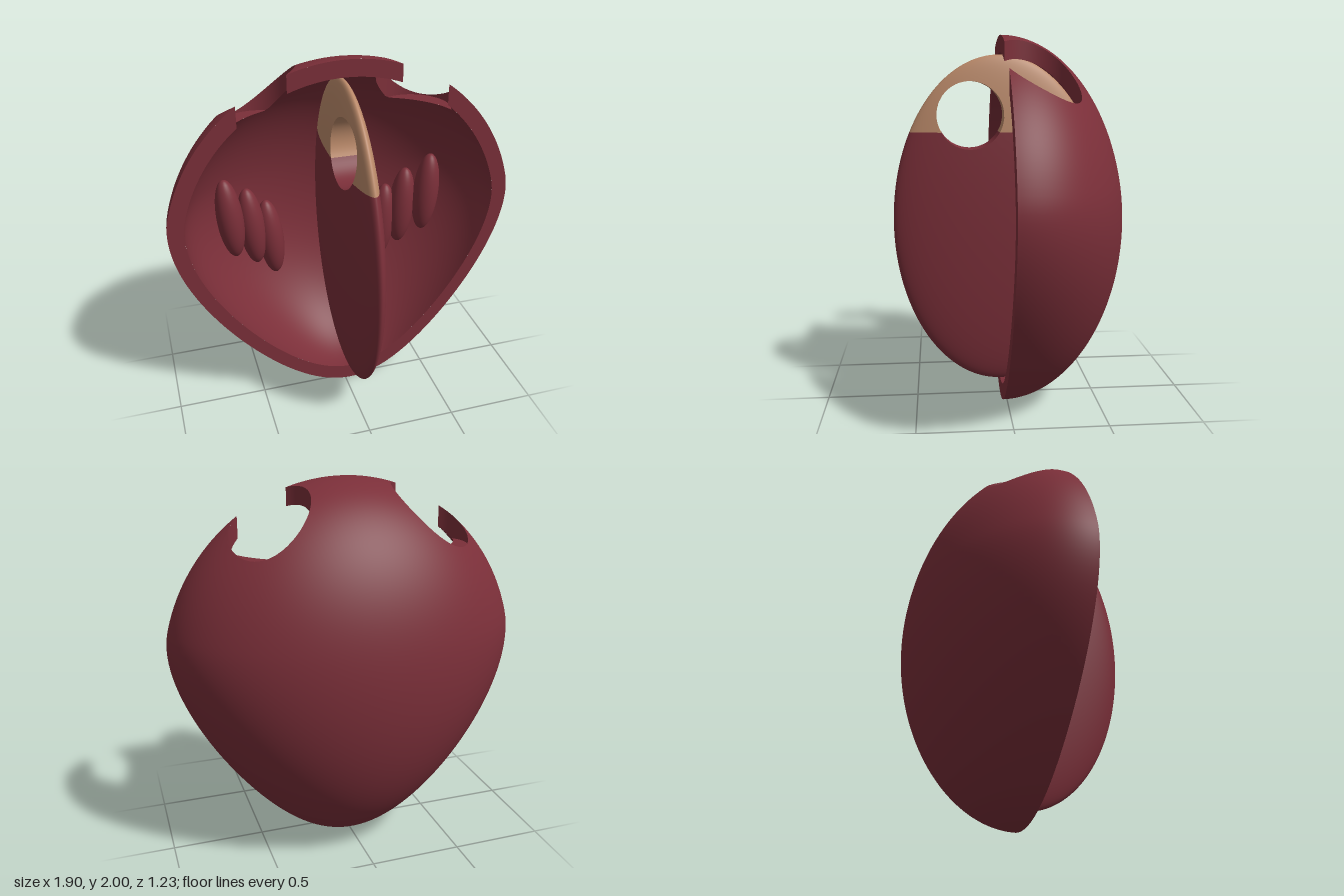
import * as THREE from 'three';
import { mergeVertices } from 'three/addons/utils/BufferGeometryUtils.js';

const V = (x, y, z) => new THREE.Vector3(x, y, z);
const TAU = Math.PI * 2;
const CUT_Z = 0.03; // plane where the shell is cut open
const INNER = 0.91; // cavity size relative to the outer wall
const PORT = { x: 0.427, z: -0.13, r: 0.205, floor: 1.65 };
const HOLE = { y: 1.58, z: 0.19, r: 0.18 };
const TAN_Y = 1.49;

// Triangles of a parametric surface, facing du x dv
function surface(fn, nu, nv) {
  const tris = [];
  for (let i = 0; i < nu; i++) {
    for (let j = 0; j < nv; j++) {
      const a = fn(i / nu, j / nv), b = fn((i + 1) / nu, j / nv);
      const c = fn((i + 1) / nu, (j + 1) / nv), d = fn(i / nu, (j + 1) / nv);
      tris.push([a, b, c], [a, c, d]);
    }
  }
  return tris;
}

// Keep the part of the triangles where f(p) >= 0
function clip(tris, f) {
  const out = [];
  for (const tri of tris) {
    const d = tri.map(f), poly = [];
    for (let i = 0; i < 3; i++) {
      const j = (i + 1) % 3;
      if (d[i] >= 0) poly.push(tri[i]);
      if ((d[i] >= 0) !== (d[j] >= 0)) poly.push(tri[i].clone().lerp(tri[j], d[i] / (d[i] - d[j])));
    }
    for (let k = 2; k < poly.length; k++) out.push([poly[0], poly[k - 1], poly[k]]);
  }
  return out;
}

function toMesh(name, tris, material) {
  const raw = new THREE.BufferGeometry().setFromPoints(tris.flat());
  const geometry = mergeVertices(raw, 1e-5);
  geometry.computeVertexNormals();
  const mesh = new THREE.Mesh(geometry, material);
  mesh.name = name;
  return mesh;
}

// Heart-like body: an ellipsoid that narrows and leans towards the bottom
function widthAt(y) {
  const d = Math.max(0, 1.25 - y);
  return 0.97 - 0.34 * d * d / (d + 0.3);
}
const leanAt = y => 0.03 * Math.max(0, 1 - y) ** 2;

function bodyPoint(theta, phi, s) {
  const uy = Math.sin(theta) * Math.sin(phi), y = 1 + uy;
  return V(
    s * Math.sin(theta) * Math.cos(phi) * widthAt(y) + leanAt(y),
    1 + s * uy,
    CUT_Z - s * 0.65 * Math.cos(theta));
}

// Below 1 inside the body of size s, above 1 outside
function bodyField(p, s) {
  const uy = (p.y - 1) / s, y = Math.min(2, Math.max(0, 1 + uy));
  return Math.hypot((p.x - leanAt(y)) / (s * widthAt(y)), uy, (p.z - CUT_Z) / (s * 0.65));
}

// Positive outside the two vertical port cutters
const outsidePorts = p => Math.max(
  Math.hypot(Math.abs(p.x) - PORT.x, p.z - PORT.z) - PORT.r, PORT.floor - p.y);

// Keep only what lies within the shell wall
function withinWall(tris) {
  let t = clip(tris, p => CUT_Z - p.z);
  t = clip(t, p => 1 - bodyField(p, 1));
  return clip(t, p => bodyField(p, INNER) - 1);
}

// Thin upright divider
function septumPoint(theta, phi) {
  const uy = Math.sin(theta) * Math.sin(phi);
  return V(
    0.095 * Math.sin(theta) * Math.cos(phi) + 0.01 - 0.022 * uy,
    1 + 0.9 * uy,
    CUT_Z - 0.58 * Math.cos(theta));
}
function septumField(p) {
  const uy = (p.y - 1) / 0.9;
  return Math.hypot((p.x - 0.01 + 0.022 * uy) / 0.095, uy, (p.z - CUT_Z) / 0.58);
}

export function createModel() {
  const red = new THREE.MeshStandardMaterial({ color: 0x7b2f39 });
  red.name = 'muscle red';
  const tan = new THREE.MeshStandardMaterial({ color: 0xba8969 });
  tan.name = 'membrane tan';
  const model = new THREE.Group();
  model.name = 'chamberModel';

  // Shell: outer skin, cavity lining and the flat cut rim
  const shell = new THREE.Group();
  shell.name = 'shell';
  const outer = surface((u, v) => bodyPoint(u * Math.PI / 2, -v * TAU, 1), 60, 160);
  const lining = surface((u, v) => bodyPoint(u * Math.PI / 2, v * TAU, INNER), 60, 160);
  const rim = surface((u, v) => bodyPoint(Math.PI / 2, v * TAU, INNER)
    .lerp(bodyPoint(Math.PI / 2, v * TAU, 1), u), 6, 200);
  shell.add(
    toMesh('outerWall', clip(outer, outsidePorts), red),
    toMesh('cavityLining', clip(lining, outsidePorts), red),
    toMesh('cutRim', clip(rim, outsidePorts), red));

  // Ports: round walls and a flat ledge cut into the top of the shell
  for (const [side, s] of [['left', 1], ['right', -1]]) {
    const wall = surface((u, v) => V(
      s * PORT.x + PORT.r * Math.cos(u * TAU),
      PORT.floor + 0.35 * v,
      PORT.z + PORT.r * Math.sin(u * TAU)), 72, 20);
    const ledge = surface((u, v) => V(
      s * PORT.x + PORT.r * u * Math.cos(-v * TAU),
      PORT.floor,
      PORT.z + PORT.r * u * Math.sin(-v * TAU)), 14, 72);
    shell.add(
      toMesh(side + 'PortWall', withinWall(wall), red),
      toMesh(side + 'PortLedge', withinWall(ledge), red));
  }
  model.add(shell);

  // Septum with a round hole and a tan top
  const septum = new THREE.Group();
  septum.name = 'septum';
  const blade = clip(
    surface((u, v) => septumPoint(u * Math.PI, -v * TAU), 90, 120),
    p => Math.hypot(p.y - HOLE.y, p.z - HOLE.z) - HOLE.r);
  const bore = clip(
    surface((u, v) => V(
      -0.12 + 0.24 * v,
      HOLE.y + HOLE.r * Math.cos(-u * TAU),
      HOLE.z + HOLE.r * Math.sin(-u * TAU)), 72, 24),
    p => 1 - septumField(p));
  for (const [name, tris] of [['septumBlade', blade], ['septumHoleWall', bore]]) {
    septum.add(
      toMesh(name + 'Lower', clip(tris, p => TAN_Y - p.y), red),
      toMesh(name + 'Upper', clip(tris, p => p.y - TAN_Y), tan));
  }
  model.add(septum);

  // Three small muscles on each side of the cavity
  const muscleShape = new THREE.SphereGeometry(1, 32, 24).scale(0.075, 0.245, 0.08);
  const spots = [[0.587, 1.05, -0.27], [0.458, 0.95, -0.33], [0.345, 0.845, -0.36]];
  for (const s of [1, -1]) {
    for (const [x, y, z] of spots) {
      const muscle = new THREE.Mesh(muscleShape, red);
      muscle.name = s > 0 ? 'leftPapillaryMuscle' : 'rightPapillaryMuscle';
      muscle.position.set(s * x, y, z);
      muscle.rotation.z = -s * 0.09;
      model.add(muscle);
    }
  }
  return model;
}
